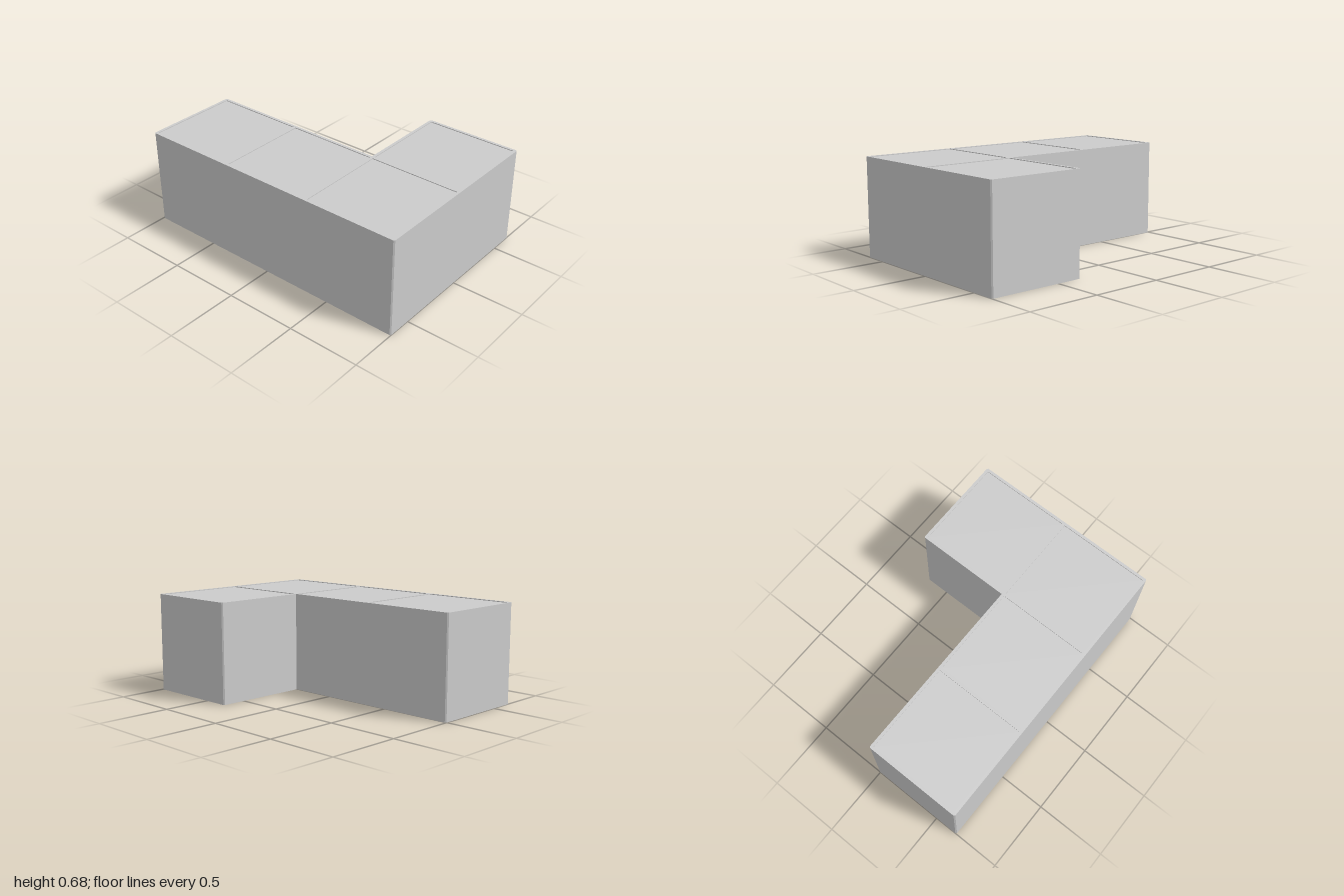
import * as THREE from 'three';

// L-shaped block of four square cells: a wall grid with recessed floor and roof panels
const PITCH = 0.66, WALL = 0.02, HEIGHT = 0.68, CHAMFER = 0.008;
const CELLS = [[0, 0], [0, 1], [0, 2], [1, 2]]; // column (x), row (z)
const X0 = -0.67, Z0 = -1;

export function createModel() {
  const group = new THREE.Group();
  group.name = 'lShapedBlock';
  const material = new THREE.MeshStandardMaterial({ color: 0xcccccc, flatShading: true });
  const c = CHAMFER;

  // Outline in plan (shape y = -z), convex corners chamfered
  const outline = [
    [-0.67, -1 + c], [-0.67 + c, -1], [0.67 - c, -1], [0.67, -1 + c],
    [0.67, -0.32 - c], [0.67 - c, -0.32], [0.01, -0.32],
    [0.01, 1 - c], [0.01 - c, 1], [-0.67 + c, 1], [-0.67, 1 - c],
  ];
  const shape = new THREE.Shape(outline.map(([x, y]) => new THREE.Vector2(x, y)));

  // One square opening and a floor and roof panel per cell
  const size = PITCH - WALL;
  const addPanel = (name, x, y, z) => {
    const panel = new THREE.Mesh(new THREE.BoxGeometry(size, WALL, size), material);
    panel.name = name;
    panel.position.set(x, y, z);
    group.add(panel);
  };
  for (const [col, row] of CELLS) {
    const x = X0 + WALL + col * PITCH, z = Z0 + WALL + row * PITCH;
    shape.holes.push(new THREE.Path([
      new THREE.Vector2(x, -z), new THREE.Vector2(x + size, -z),
      new THREE.Vector2(x + size, -z - size), new THREE.Vector2(x, -z - size),
    ]));
    addPanel('floorPanel', x + size / 2, 0.015 + WALL / 2, z + size / 2);
    addPanel('roofPanel', x + size / 2, HEIGHT - 0.005 - WALL / 2, z + size / 2);
  }

  // Outer walls and partitions
  const wallGeometry = new THREE.ExtrudeGeometry(shape, { depth: HEIGHT, bevelEnabled: false });
  wallGeometry.rotateX(-Math.PI / 2);
  const walls = new THREE.Mesh(wallGeometry, material);
  walls.name = 'walls';
  group.add(walls);

  return group;
}
